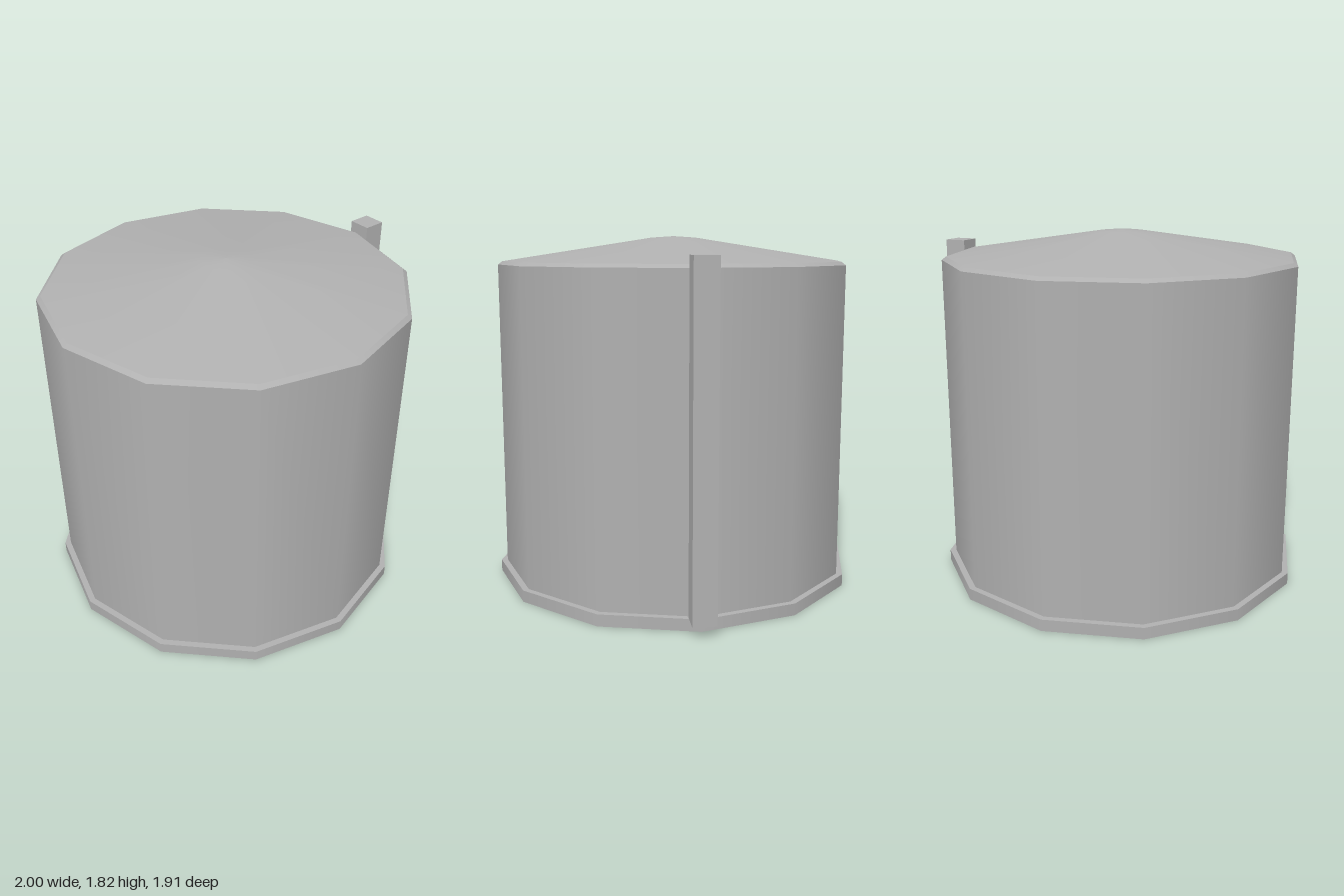
import * as THREE from 'three';

const SIDES = 12;
const CENTRE_X = -0.043;

export function createModel() {
  const model = new THREE.Group();
  model.name = 'storageTank';

  const grey = new THREE.MeshStandardMaterial({ color: 0xb0b0b0, side: THREE.DoubleSide });
  grey.name = 'grey metal';

  // Each band of the twelve-sided shell is its own lathe, so edges between bands stay sharp
  const tank = new THREE.Group();
  tank.name = 'tank';
  tank.position.x = CENTRE_X;
  const bands = {
    baseRing: [[0.957, 0], [0.957, 0.06]],
    baseLedge: [[0.957, 0.06], [0.925, 0.06]],
    wall: [[0.925, 0.06], [0.925, 1.668]],
    roofRim: [[0.925, 1.668], [0.903, 1.685]],
    roof: [[0.903, 1.685], [0.12, 1.807], [0, 1.815]],
  };
  for (const [name, profile] of Object.entries(bands)) {
    const points = profile.map(([r, y]) => new THREE.Vector2(r, y));
    const band = new THREE.Mesh(new THREE.LatheGeometry(points, SIDES), grey);
    band.name = name;
    tank.add(band);
  }
  model.add(tank);

  // Square duct up the left side, open at its foot
  const ductGeometry = new THREE.BoxGeometry(0.116, 1.665, 0.116);
  const faces = Array.from(ductGeometry.index.array);
  faces.splice(18, 6); // the downward face
  ductGeometry.setIndex(faces);
  ductGeometry.clearGroups();
  const duct = new THREE.Mesh(ductGeometry, grey);
  duct.name = 'sideDuct';
  duct.position.set(0.942, 0.06 + 1.665 / 2, 0);
  model.add(duct);

  return model;
}
